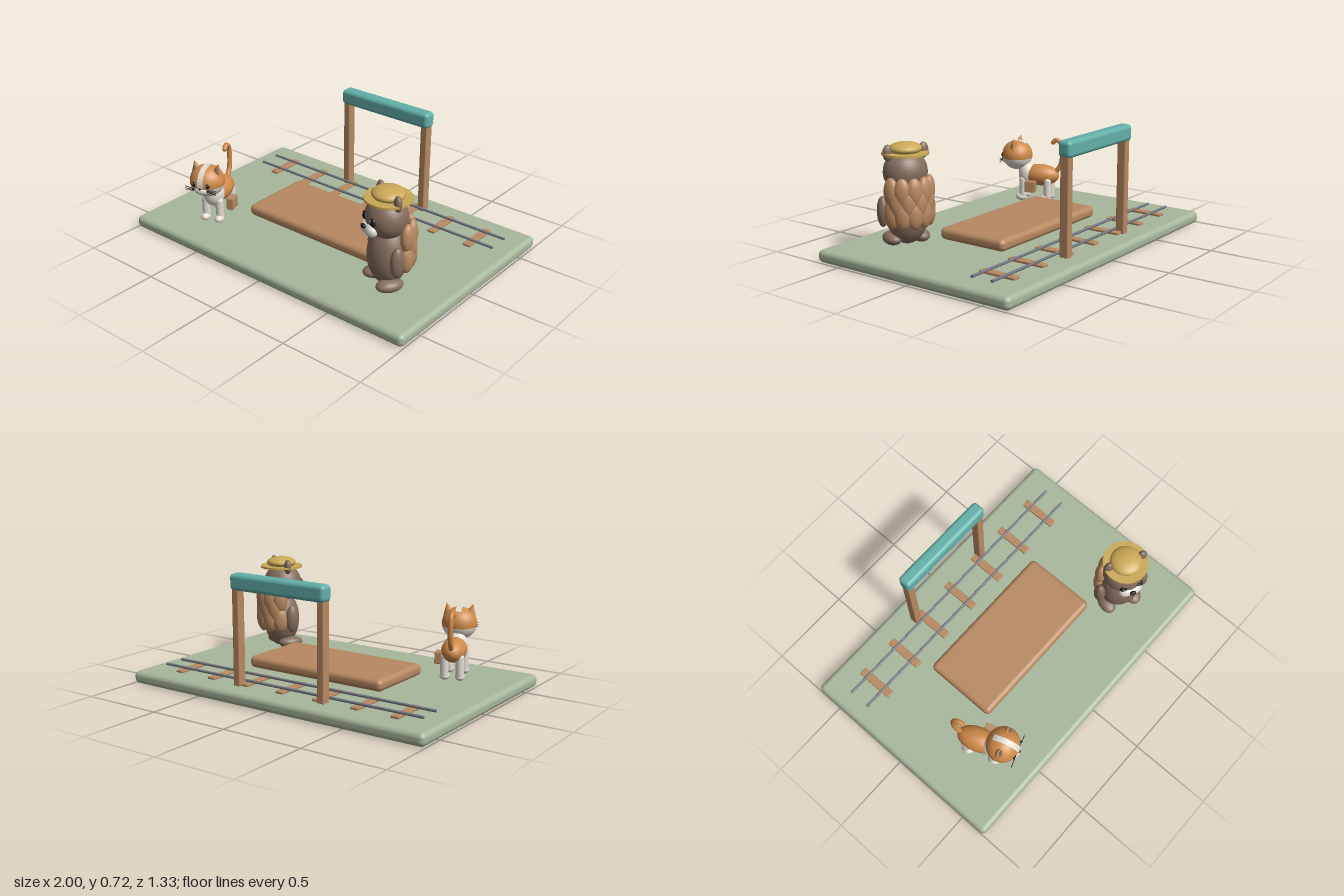
import * as THREE from 'three';
import { RoundedBoxGeometry } from 'three/addons/geometries/RoundedBoxGeometry.js';

const material = (name, color) => {
  const m = new THREE.MeshStandardMaterial({ color });
  m.name = name;
  return m;
};

export function createModel() {
  const sage = material('sage', 0xa7b79b);
  const wood = material('wood', 0xb88961);
  const teal = material('teal', 0x62b0a9);
  const fur = material('brown fur', 0x856d5e);
  const straw = material('straw', 0xcba956);
  const ginger = material('ginger', 0xcf8a49);
  const cream = material('cream', 0xe4ddd2);
  const black = material('black', 0x1b1b1f);
  const steel = material('steel', 0x747782);

  const add = (parent, name, geometry, mat, x, y, z) => {
    const mesh = new THREE.Mesh(geometry, mat);
    mesh.name = name;
    mesh.position.set(x, y, z);
    parent.add(mesh);
    return mesh;
  };
  const ball = (parent, name, mat, x, y, z, rx, ry, rz) => {
    const mesh = add(parent, name, new THREE.SphereGeometry(1, 28, 20), mat, x, y, z);
    mesh.scale.set(rx, ry, rz);
    return mesh;
  };
  const block = (parent, name, mat, x, y, z, w, h, d, r) =>
    add(parent, name, new RoundedBoxGeometry(w, h, d, 4, r), mat, x, y, z);
  const group = (parent, name, x, y, z, yaw) => {
    const g = new THREE.Group();
    g.name = name;
    g.position.set(x, y, z);
    g.rotation.y = yaw;
    parent.add(g);
    return g;
  };

  const model = new THREE.Group();
  model.name = 'railwayStop';

  // Ground slab and platform
  block(model, 'ground', sage, 0, 0.0375, 0, 2, 0.075, 1.33, 0.03);
  block(model, 'platform', wood, 0, 0.119, 0, 0.935, 0.072, 0.455, 0.03);

  // Track
  for (let i = -3; i <= 3; i++) {
    block(model, 'sleeper', wood, i * 0.25, 0.081, -0.42, 0.05, 0.016, 0.23, 0.005);
  }
  for (const z of [-0.485, -0.357]) {
    const rail = add(model, 'rail', new THREE.CylinderGeometry(0.008, 0.008, 1.79, 10), steel, 0, 0.096, z);
    rail.rotation.z = Math.PI / 2;
  }

  // Sign frame
  for (const x of [-0.292, 0.292]) {
    block(model, 'signPost', wood, x, 0.36, -0.522, 0.046, 0.58, 0.056, 0.008);
  }
  block(model, 'signBeam', teal, 0, 0.673, -0.522, 0.645, 0.095, 0.083, 0.024);

  // Bear
  const bear = group(model, 'bear', 0.64, 0, 0.31, -0.48);
  ball(bear, 'bearBody', fur, 0, 0.27, 0, 0.12, 0.18, 0.113);
  ball(bear, 'bearHead', fur, 0, 0.5, 0.012, 0.126, 0.122, 0.116);
  for (const s of [-1, 1]) {
    ball(bear, 'bearArm', fur, s * 0.138, 0.286, 0.012, 0.032, 0.088, 0.04);
    ball(bear, 'bearFoot', fur, s * 0.083, 0.123, 0.025, 0.052, 0.037, 0.08);
    ball(bear, 'bearEar', fur, s * 0.103, 0.615, 0, 0.03, 0.046, 0.022);
    ball(bear, 'bearEye', black, s * 0.048, 0.503, 0.113, 0.022, 0.026, 0.016);
    ball(bear, 'eyeGlint', cream, s * 0.048 - 0.006, 0.511, 0.127, 0.005, 0.005, 0.003);
    ball(bear, 'bearCheek', cream, s * 0.024, 0.447, 0.112, 0.046, 0.038, 0.034);
  }
  ball(bear, 'bearNose', black, 0, 0.469, 0.147, 0.019, 0.014, 0.012);

  // Straw hat
  add(bear, 'hatBrim', new THREE.CylinderGeometry(0.132, 0.132, 0.012, 40), straw, 0, 0.607, 0.004);
  ball(bear, 'hatCrown', straw, 0, 0.632, 0.004, 0.092, 0.037, 0.092);

  // Staggered rows of scales on the back
  [[0.405, 5], [0.345, 4], [0.28, 5]].forEach(([y, count]) => {
    for (let i = 0; i < count; i++) {
      const a = (i - (count - 1) / 2) * 0.54;
      const scale = ball(bear, 'backScale', wood, Math.sin(a) * 0.125, y, -Math.cos(a) * 0.125, 0.047, 0.083, 0.034);
      scale.rotation.y = -a;
    }
  });

  // Cat body and legs
  const cat = group(model, 'cat', -0.63, 0, 0.31, 0.33);
  ball(cat, 'catBody', ginger, 0, 0.245, -0.01, 0.073, 0.07, 0.125);
  ball(cat, 'catChest', cream, 0, 0.25, 0.078, 0.067, 0.08, 0.058);
  for (const s of [-1, 1]) {
    for (const z of [0.095, -0.07]) {
      add(cat, 'catLeg', new THREE.CapsuleGeometry(0.024, 0.1, 6, 16), cream, s * 0.045, 0.165, z);
      ball(cat, 'catPaw', cream, s * 0.045, 0.101, z + 0.012, 0.028, 0.024, 0.036);
    }
  }
  const tailPath = new THREE.CatmullRomCurve3([
    [0, 0.265, -0.11], [0, 0.32, -0.145], [0, 0.4, -0.155], [0, 0.465, -0.143], [0, 0.482, -0.115], [0, 0.465, -0.095],
  ].map((p) => new THREE.Vector3(...p)));
  add(cat, 'catTail', new THREE.TubeGeometry(tailPath, 28, 0.015, 12), ginger, 0, 0, 0);
  ball(cat, 'tailTip', ginger, 0, 0.465, -0.095, 0.015, 0.015, 0.015);

  // Cat head: ginger cap over a cream lower half, with a cream blaze
  const head = group(cat, 'catHead', 0, 0.37, 0.148, 0);
  const [hx, hy, hz] = [0.104, 0.096, 0.098];
  const cut = 1.75;
  add(head, 'headTop', new THREE.SphereGeometry(1, 32, 20, 0, Math.PI * 2, 0, cut), ginger, 0, 0, 0).scale.set(hx, hy, hz);
  add(head, 'headBottom', new THREE.SphereGeometry(1, 32, 14, 0, Math.PI * 2, cut, Math.PI - cut), cream, 0, 0, 0).scale.set(hx, hy, hz);
  const blaze = add(head, 'blaze', new THREE.CylinderGeometry(1, 1, 0.034, 36, 1, false, -0.3, 2.5), cream, 0, 0, 0);
  blaze.rotation.z = Math.PI / 2;
  blaze.scale.set(hy * 1.012, 1, hz * 1.012);
  ball(head, 'catMuzzle', cream, 0, -0.032, 0.078, 0.045, 0.026, 0.026);
  ball(head, 'catNose', black, 0, -0.014, 0.101, 0.009, 0.006, 0.006);
  for (const s of [-1, 1]) {
    const ear = add(head, 'catEar', new THREE.ConeGeometry(0.036, 0.07, 20), ginger, s * 0.07, 0.085, 0);
    ear.scale.z = 0.6;
    ear.rotation.z = -s * 0.25;
    const inner = add(head, 'innerEar', new THREE.ConeGeometry(0.024, 0.05, 20), fur, s * 0.07, 0.083, 0.012);
    inner.scale.z = 0.6;
    inner.rotation.z = -s * 0.25;
    ball(head, 'catEye', black, s * 0.044, 0.004, 0.087, 0.013, 0.016, 0.008);
    ball(head, 'catEyeGlint', cream, s * 0.044 - 0.004, 0.01, 0.094, 0.003, 0.003, 0.002);
    for (const k of [-1, 0, 1]) {
      const whisker = add(head, 'whisker', new THREE.BoxGeometry(0.06, 0.003, 0.003), black, s * 0.07, -0.026 + k * 0.009, 0.09);
      whisker.rotation.z = s * k * 0.15;
    }
  }

  // Satchel on the cat's left side
  block(cat, 'satchel', wood, 0.095, 0.185, 0.03, 0.045, 0.07, 0.068, 0.004);

  return model;
}
